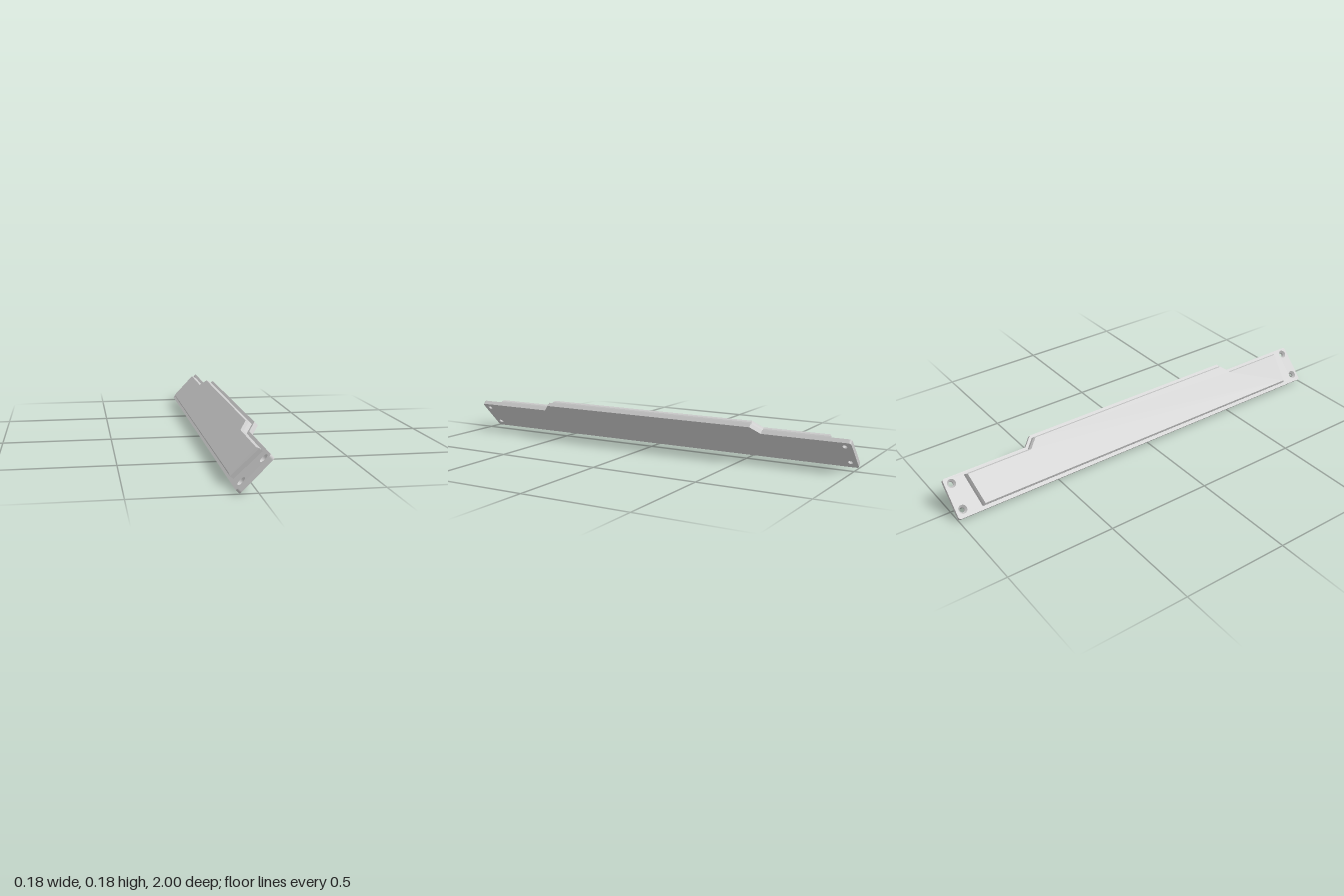
import * as THREE from 'three';

const HOLES = [0.0365, 0.157].flatMap(u => [-0.968, 0.968].map(w => [u, w]));

// Stepped plate outline with rounded end corners and four screw holes
function plateLayer(bottom, height, holeRadius) {
  const r = 0.013, narrow = 0.187, wide = 0.23;
  const s = new THREE.Shape();
  s.moveTo(r, -1);
  s.lineTo(narrow - r, -1);
  s.quadraticCurveTo(narrow, -1, narrow, -1 + r);
  s.lineTo(narrow, -0.592);
  s.lineTo(wide, -0.55);
  s.lineTo(wide, 0.55);
  s.lineTo(narrow, 0.592);
  s.lineTo(narrow, 1 - r);
  s.quadraticCurveTo(narrow, 1, narrow - r, 1);
  s.lineTo(r, 1);
  s.quadraticCurveTo(0, 1, 0, 1 - r);
  s.lineTo(0, -1 + r);
  s.quadraticCurveTo(0, -1, r, -1);
  for (const [u, w] of HOLES) {
    s.holes.push(new THREE.Path().absarc(u, w, holeRadius, 0, Math.PI * 2, true));
  }
  const g = new THREE.ExtrudeGeometry(s, { depth: height, bevelEnabled: false, curveSegments: 12 });
  return g.rotateX(-Math.PI / 2).translate(0, bottom, 0);
}

// Raised cover: stepped outline lofted through three levels, closed on top
function coverGeometry() {
  const ring = (lo, narrow, wide, zLow, zHigh, step) => {
    const half = [[lo, zLow], [narrow, zHigh], [narrow, step + 0.042], [wide, step]];
    return [...half.map(([u, w]) => new THREE.Vector2(u, -w)),
      ...half.reverse().map(([u, w]) => new THREE.Vector2(u, w))];
  };
  const levels = [
    { y: 0.02, pts: ring(0.0165, 0.173, 0.216, 0.882, 0.903, 0.546) },
    { y: 0.038, pts: ring(0.0155, 0.1716, 0.2146, 0.88, 0.901, 0.545) },
    { y: 0.05, pts: ring(0.0216, 0.1656, 0.2086, 0.875, 0.895, 0.541) },
  ];
  const pos = [];
  const put = (level, i) => pos.push(level.pts[i].x, level.y, -level.pts[i].y);
  for (let k = 0; k < 2; k++) {
    const a = levels[k], b = levels[k + 1], n = a.pts.length;
    for (let i = 0; i < n; i++) {
      const j = (i + 1) % n;
      put(a, i); put(a, j); put(b, j);
      put(a, i); put(b, j); put(b, i);
    }
  }
  for (const tri of THREE.ShapeUtils.triangulateShape(levels[2].pts, [])) {
    tri.forEach(i => put(levels[2], i));
  }
  const g = new THREE.BufferGeometry();
  g.setAttribute('position', new THREE.Float32BufferAttribute(pos, 3));
  g.computeVertexNormals();
  return g;
}

export function createModel() {
  const model = new THREE.Group();
  model.name = 'coverPlate';
  const grey = new THREE.MeshStandardMaterial({ color: 0xcccccc });
  const greyDouble = new THREE.MeshStandardMaterial({ color: 0xcccccc, side: THREE.DoubleSide });

  // Everything is built flat, then tilted 45 degrees about the long axis
  const panel = new THREE.Group();
  panel.name = 'tiltedPanel';
  panel.rotation.z = Math.PI / 4;
  panel.position.set(-0.0725, 0.002, 0);
  model.add(panel);

  const add = (name, geometry, material = grey) => {
    const mesh = new THREE.Mesh(geometry, material);
    mesh.name = name;
    panel.add(mesh);
    return mesh;
  };

  add('basePlateLower', plateLayer(0, 0.009, 0.011));
  add('basePlateUpper', plateLayer(0.009, 0.012, 0.02));
  add('raisedCover', coverGeometry());

  // Countersinks leading into the screw holes
  const cone = new THREE.LatheGeometry(
    [new THREE.Vector2(0.011, 0.009), new THREE.Vector2(0.02, 0.021)], 24);
  for (const [u, w] of HOLES) add('countersink', cone, greyDouble).position.set(u, 0, -w);

  return model;
}
